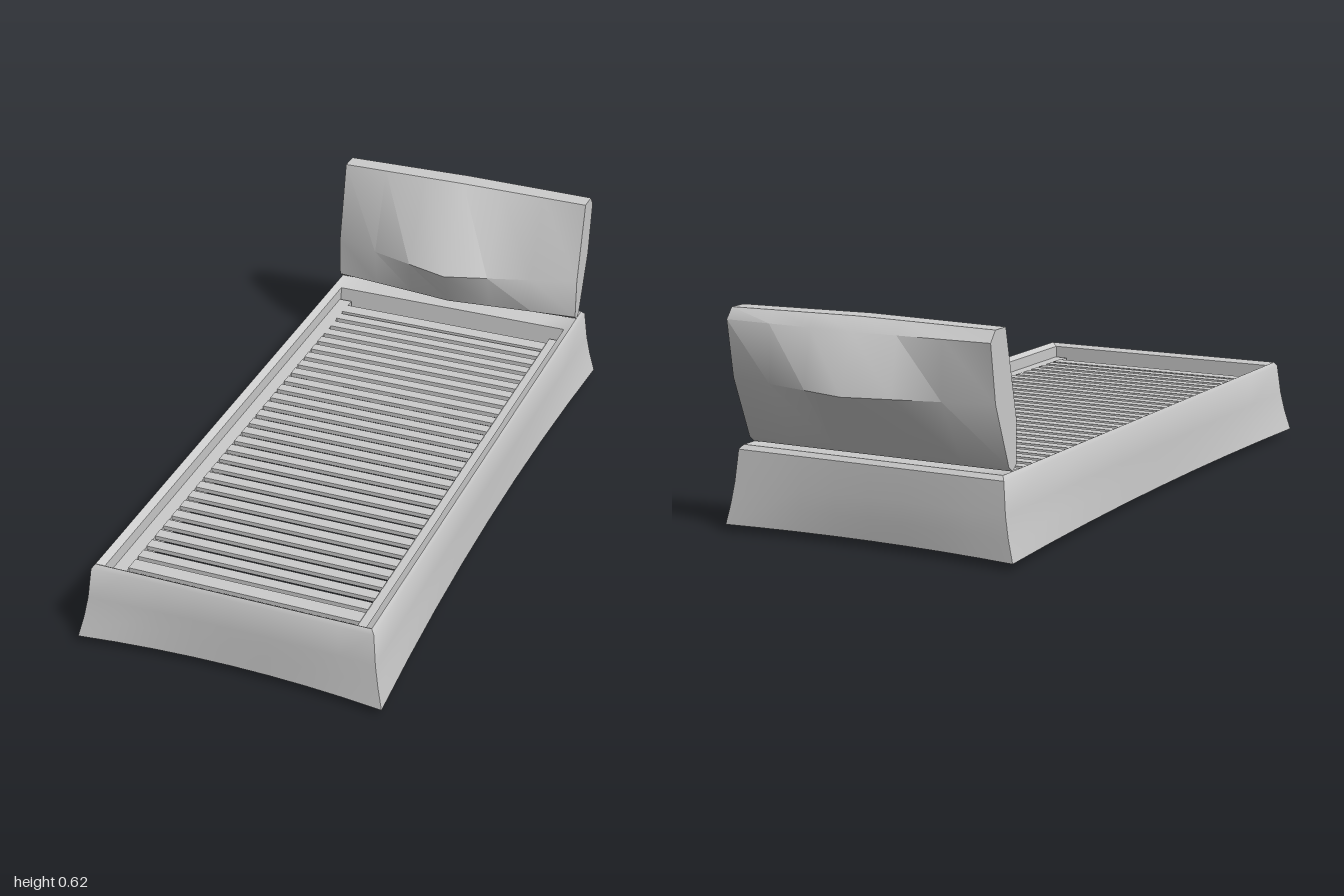
import * as THREE from 'three';
import { toCreasedNormals } from 'three/addons/utils/BufferGeometryUtils.js';

const material = new THREE.MeshStandardMaterial({ color: 0xcccccc, side: THREE.DoubleSide });

// Skin a series of closed loops that all have the same number of points.
function loft(loops, crease) {
  const n = loops[0].length;
  const index = [];
  for (let i = 0; i < loops.length - 1; i++) {
    for (let j = 0; j < n; j++) {
      const a = i * n + j, b = i * n + (j + 1) % n;
      index.push(a, b, b + n, a, b + n, a + n);
    }
  }
  const geometry = new THREE.BufferGeometry();
  geometry.setAttribute('position', new THREE.Float32BufferAttribute(loops.flat(2), 3));
  geometry.setIndex(index);
  return toCreasedNormals(geometry, crease);
}

// Rectangular loop whose sides sag inwards between the corners.
function rectLoop(y, halfX, front, back, sag) {
  const corners = [[-halfX, front], [halfX, front], [halfX, back], [-halfX, back]];
  const inward = [[0, -1], [-1, 0], [0, 1], [1, 0]];
  const steps = 8, points = [];
  corners.forEach(([x, z], k) => {
    const [nx, nz] = corners[(k + 1) % 4];
    for (let s = 0; s < steps; s++) {
      const t = s / steps, d = sag * 4 * t * (1 - t);
      points.push([x + (nx - x) * t + inward[k][0] * d, y, z + (nz - z) * t + inward[k][1] * d]);
    }
  });
  return points;
}

function add(parent, name, geometry, x = 0, y = 0, z = 0) {
  const mesh = new THREE.Mesh(geometry, material);
  mesh.name = name;
  mesh.position.set(x, y, z);
  parent.add(mesh);
  return mesh;
}

// Fabric cover: flared outer wall, rim, wide ledge at the head, inner wall.
function skirtGeometry() {
  return loft([
    rectLoop(0.02, 0.44, 0.995, -0.89, 0.03),
    rectLoop(0.08, 0.425, 0.982, -0.885, 0.018),
    rectLoop(0.14, 0.414, 0.972, -0.88, 0.009),
    rectLoop(0.228, 0.405, 0.961, -0.872, 0.002),
    rectLoop(0.24, 0.396, 0.952, -0.86, 0),
    rectLoop(0.23, 0.375, 0.938, -0.745, 0),
    rectLoop(0.14, 0.375, 0.938, -0.738, 0),
  ], 0.6);
}

// Cushion headboard: side profile [y, z] blended into a pointed centre profile.
function headboardGeometry() {
  const edge = [[0.62, -0.845], [0.38, -0.79], [0.255, -0.79], [0.24, -0.81],
    [0.255, -0.83], [0.43, -0.9], [0.59, -0.925], [0.62, -0.9]];
  const centre = [[0.625, -0.84], [0.38, -0.67], [0.27, -0.72], [0.24, -0.81],
    [0.27, -0.84], [0.43, -1.0], [0.59, -0.94], [0.625, -0.9]];
  const section = (x) => {
    const w = 1 - Math.abs(x) / 0.397;
    return edge.map(([y, z], i) => [x, y + (centre[i][0] - y) * w, z + (centre[i][1] - z) * w]);
  };
  const cap = (x) => edge.map(() => [x, 0.43, -0.845]);
  const xs = [-0.397, -0.26, -0.13, 0, 0.13, 0.26, 0.397];
  return loft([cap(-0.397), ...xs.map(section), cap(0.397)], 0.7);
}

export function createModel() {
  const bed = new THREE.Group();
  bed.name = 'bed';

  add(bed, 'skirt', skirtGeometry());
  add(bed, 'headboard', headboardGeometry());

  // Slatted base
  const base = new THREE.Group();
  base.name = 'slattedBase';
  bed.add(base);
  const rail = new THREE.BoxGeometry(0.04, 0.035, 1.66);
  for (const side of [-1, 1]) add(base, 'sideRail', rail, side * 0.354, 0.178, 0.1);

  const slatCount = 30;
  for (let i = 0; i < slatCount; i++) {
    const isEnd = i === 0 || i === slatCount - 1;
    const slat = new THREE.BoxGeometry(0.67, 0.012, isEnd ? 0.044 : 0.034);
    add(base, 'slat', slat, 0, 0.192, -0.675 + i * 1.535 / (slatCount - 1));
  }

  // Tapered legs
  const leg = new THREE.CylinderGeometry(0.019, 0.01, 0.17, 16);
  for (const x of [-0.355, 0.355]) {
    for (const z of [-0.71, 0.92]) add(bed, 'leg', leg, x, 0.085, z);
  }
  return bed;
}
